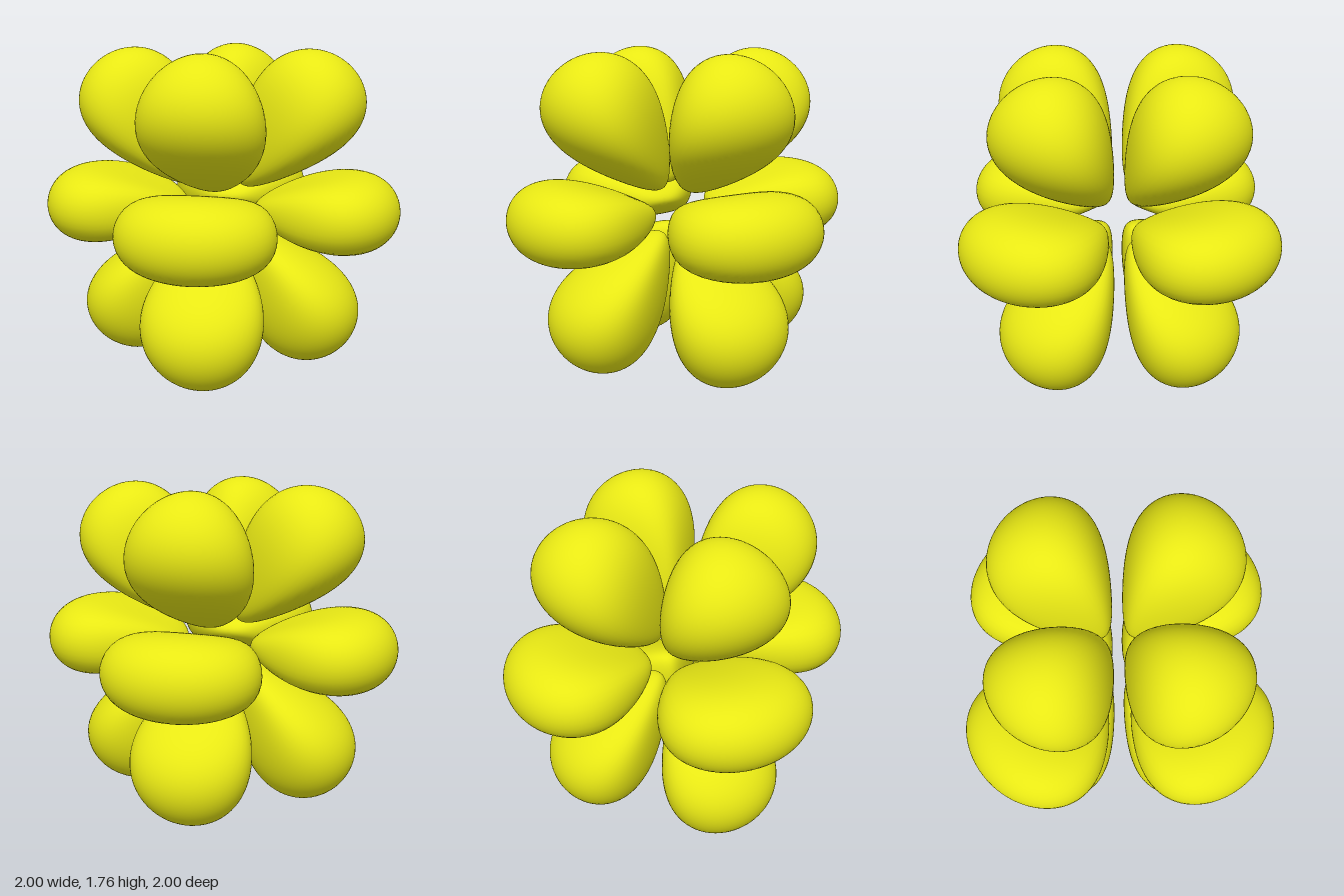
import * as THREE from 'three';

const K = 8.13;            // radial falloff
const LEVEL = Math.exp(-K); // puts the tips of the middle lobes at radius 1
const CENTRE_Y = 0.88;

// Wave amplitude; sign picks which family of lobes is positive
function field(p, sign) {
  const x2 = p.x * p.x, y2 = p.y * p.y, z2 = p.z * p.z;
  return sign * (x2 - z2) * (6 * y2 - x2 - z2) * Math.exp(-K * p.length());
}

// One closed lobe: a sphere whose vertices are pushed out to the level surface
function lobeGeometry(elevation, sign) {
  const axis = new THREE.Vector3(Math.cos(elevation), Math.sin(elevation), 0);
  const core = axis.clone().multiplyScalar(0.55);
  const geo = new THREE.SphereGeometry(1, 72, 56);
  geo.applyQuaternion(new THREE.Quaternion().setFromUnitVectors(new THREE.Vector3(0, 1, 0), axis));
  const pos = geo.attributes.position, nor = geo.attributes.normal;
  const dir = new THREE.Vector3(), p = new THREE.Vector3(), q = new THREE.Vector3();
  const at = (t) => field(p.copy(core).addScaledVector(dir, t), sign);
  const slope = (axisName, e = 1e-4) => {
    const a = field(q.copy(p).setComponent(axisName, p.getComponent(axisName) + e), sign);
    const b = field(q.copy(p).setComponent(axisName, p.getComponent(axisName) - e), sign);
    return b - a;
  };
  for (let i = 0; i < pos.count; i++) {
    dir.fromBufferAttribute(pos, i).normalize();
    // March out of the lobe, then bisect to the surface
    let hi = 0.01;
    while (at(hi) > LEVEL && hi < 1.5) hi += 0.01;
    let lo = hi - 0.01;
    for (let n = 0; n < 20; n++) {
      const mid = (lo + hi) / 2;
      if (at(mid) > LEVEL) lo = mid; else hi = mid;
    }
    at(lo);
    pos.setXYZ(i, p.x, p.y, p.z);
    // Smooth outward normal from the field's gradient
    const n = new THREE.Vector3(slope(0), slope(1), slope(2)).normalize();
    nor.setXYZ(i, n.x, n.y, n.z);
  }
  return geo;
}

export function createModel() {
  const model = new THREE.Group();
  model.name = 'lobeCluster';
  const material = new THREE.MeshStandardMaterial({ color: 0xe8e814 });

  const tilt = Math.asin(Math.sqrt(4 / 7));
  const upper = lobeGeometry(tilt, 1);
  const tiers = {
    upperLobe: upper,
    middleLobe: lobeGeometry(0, -1),
    lowerLobe: upper.clone().rotateX(Math.PI),
  };

  // Four lobes around the vertical axis in each tier
  for (const [name, geometry] of Object.entries(tiers)) {
    for (let i = 0; i < 4; i++) {
      const lobe = new THREE.Mesh(geometry, material);
      lobe.name = name + (i + 1);
      lobe.position.y = CENTRE_Y;
      lobe.rotation.y = (i * Math.PI) / 2;
      model.add(lobe);
    }
  }
  return model;
}
